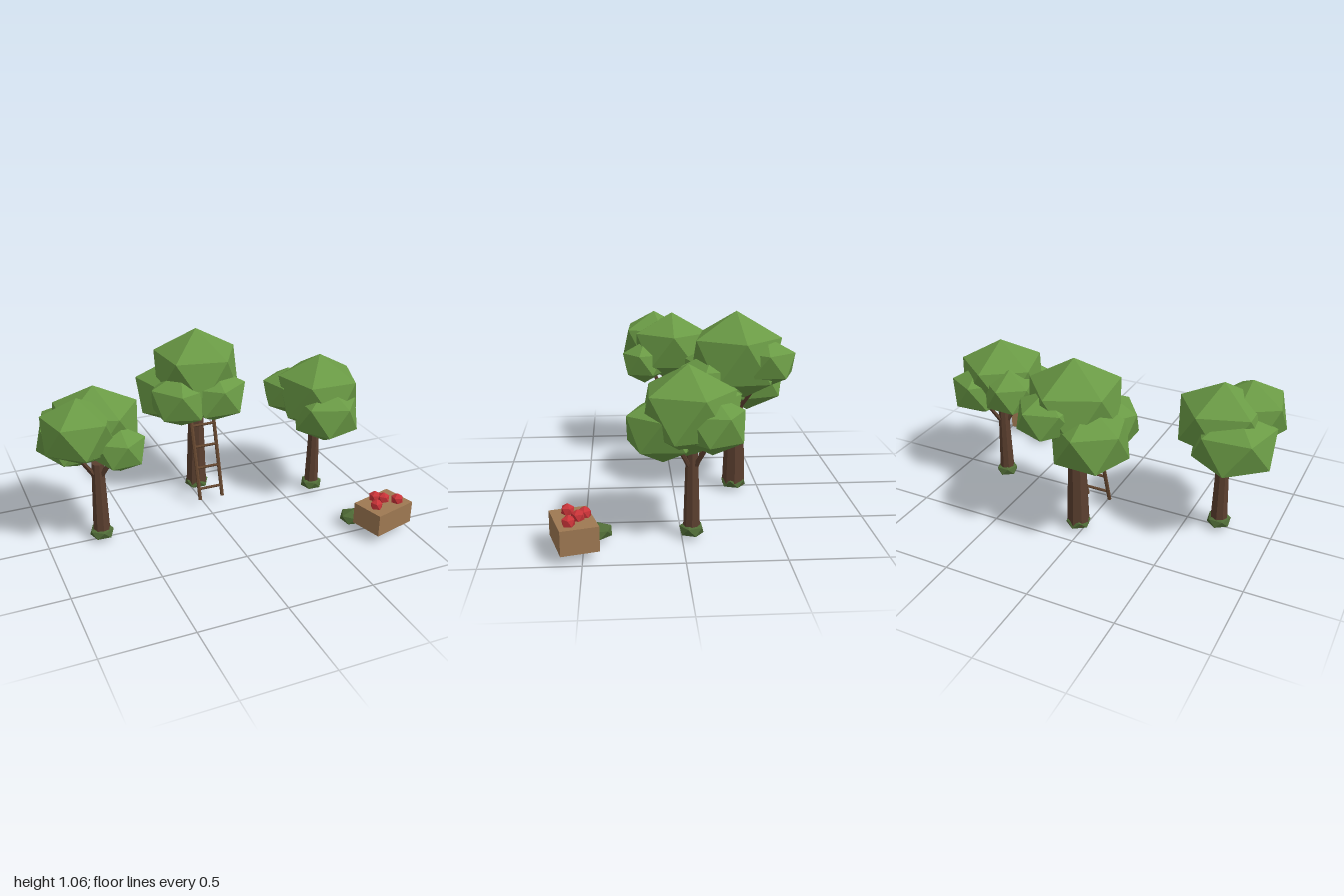
import * as THREE from 'three';

const paint = (color) => new THREE.MeshStandardMaterial({ color, flatShading: true });
const BARK = paint(0x5b3f2f), LEAF = paint(0x6a9a45), MOSS = paint(0x4f6b36);
const WOOD = paint(0x9e7852), LADDER = paint(0x64462f), APPLE = paint(0xc93338);

// Icosahedron standing on a corner; deg is the heading of one upper corner
function blob(name, [x, y, z], rx, ry, deg, material) {
  const g = new THREE.IcosahedronGeometry(1, 0);
  g.rotateZ(Math.atan2(2, 1 + Math.sqrt(5)));
  g.rotateY(Math.PI - THREE.MathUtils.degToRad(deg));
  g.scale(rx, ry, rx);
  const mesh = new THREE.Mesh(g, material);
  mesh.name = name;
  mesh.position.set(x, y, z);
  return mesh;
}

// Tapered pole between two points
function pole(name, from, to, r0, r1, sides, material) {
  const a = new THREE.Vector3(...from), b = new THREE.Vector3(...to);
  const dir = b.clone().sub(a);
  const mesh = new THREE.Mesh(new THREE.CylinderGeometry(r1, r0, dir.length(), sides), material);
  mesh.name = name;
  mesh.position.copy(a).add(b).multiplyScalar(0.5);
  mesh.quaternion.setFromUnitVectors(new THREE.Vector3(0, 1, 0), dir.normalize());
  return mesh;
}

// Trunk, forked branches, mossy foot and clustered foliage
function tree({ name, x, z, r, top, reach, moss, foliage }) {
  const group = new THREE.Group();
  group.name = name;
  group.add(pole('trunk', [x, 0.04, z], [x, top, z], r, r * 0.7, 8, BARK));
  group.add(blob('mossyFoot', [x, 0.047, z], moss, 0.043, 20, MOSS));
  for (const deg of [-50, 50, 170]) {
    const a = THREE.MathUtils.degToRad(deg), c = Math.cos(a), s = Math.sin(a);
    group.add(pole('branch', [x + c * 0.01, top - 0.09, z + s * 0.01],
      [x + c * reach, top + reach * 0.62, z + s * reach], r * 0.33, r * 0.22, 5, BARK));
  }
  for (const [pos, rx, ry, deg] of foliage) group.add(blob('foliage', pos, rx, ry, deg, LEAF));
  return group;
}

// Two rails and four rungs leaning back on the middle tree
function ladder() {
  const group = new THREE.Group();
  group.name = 'ladder';
  const zAt = (y) => -0.1 - (y - 0.06) * 0.297;
  const left = 0.105, right = -0.04;
  for (const x of [left, right])
    group.add(pole('ladderRail', [x, 0.055, zAt(0.055)], [x, 0.59, zAt(0.59)], 0.011, 0.011, 6, LADDER));
  for (let i = 0; i < 4; i++) {
    const y = 0.12 + i * 0.125;
    group.add(pole('ladderRung', [right, y, zAt(y)], [left, y, zAt(y)], 0.008, 0.008, 6, LADDER));
  }
  return group;
}

// Closed crate with apples half sunk in its top
function appleCrate() {
  const group = new THREE.Group();
  group.name = 'appleCrate';
  const box = new THREE.Mesh(new THREE.BoxGeometry(0.272, 0.13, 0.195), WOOD);
  box.name = 'crate';
  box.position.set(0.843, 0.119, 0.544);
  box.rotation.y = THREE.MathUtils.degToRad(15);
  group.add(box);
  [[0.817, 0.49], [0.855, 0.522], [0.775, 0.575], [0.92, 0.564]].forEach(([x, z], i) =>
    group.add(blob('apple', [x, 0.2, z], 0.037, 0.037, i * 25, APPLE)));
  return group;
}

export function createModel() {
  const model = new THREE.Group();
  model.name = 'orchard';
  model.add(
    tree({
      name: 'rightTree', x: -0.69, z: 0, r: 0.05, top: 0.49, reach: 0.12, moss: 0.076,
      foliage: [
        [[-0.68, 0.715, -0.035], 0.27, 0.222, 0],
        [[-0.8, 0.735, 0.075], 0.225, 0.192, 130],
        [[-0.775, 0.635, -0.11], 0.25, 0.2, 230],
        [[-0.6, 0.63, 0.145], 0.155, 0.137, 15],
      ],
    }),
    tree({
      name: 'middleTree', x: 0.035, z: -0.355, r: 0.067, top: 0.58, reach: 0.15, moss: 0.08,
      foliage: [
        [[0.04, 0.8, -0.355], 0.288, 0.265, -78],
        [[-0.095, 0.655, -0.445], 0.235, 0.205, 200],
        [[-0.095, 0.675, -0.255], 0.205, 0.175, 180],
        [[0.1, 0.685, -0.225], 0.21, 0.172, 20],
        [[0.12, 0.785, -0.515], 0.183, 0.145, -70],
      ],
    }),
    tree({
      name: 'leftTree', x: 0.7, z: -0.05, r: 0.044, top: 0.47, reach: 0.11, moss: 0.07,
      foliage: [
        [[0.7, 0.68, -0.03], 0.27, 0.24, -88],
        [[0.69, 0.59, 0.095], 0.213, 0.18, 75],
        [[0.785, 0.63, -0.145], 0.182, 0.155, -25],
        [[0.565, 0.66, -0.165], 0.168, 0.147, 200],
      ],
    }),
    ladder(),
    appleCrate(),
    blob('bush', [0.714, 0.055, 0.425], 0.077, 0.042, 30, MOSS),
  );
  return model;
}
